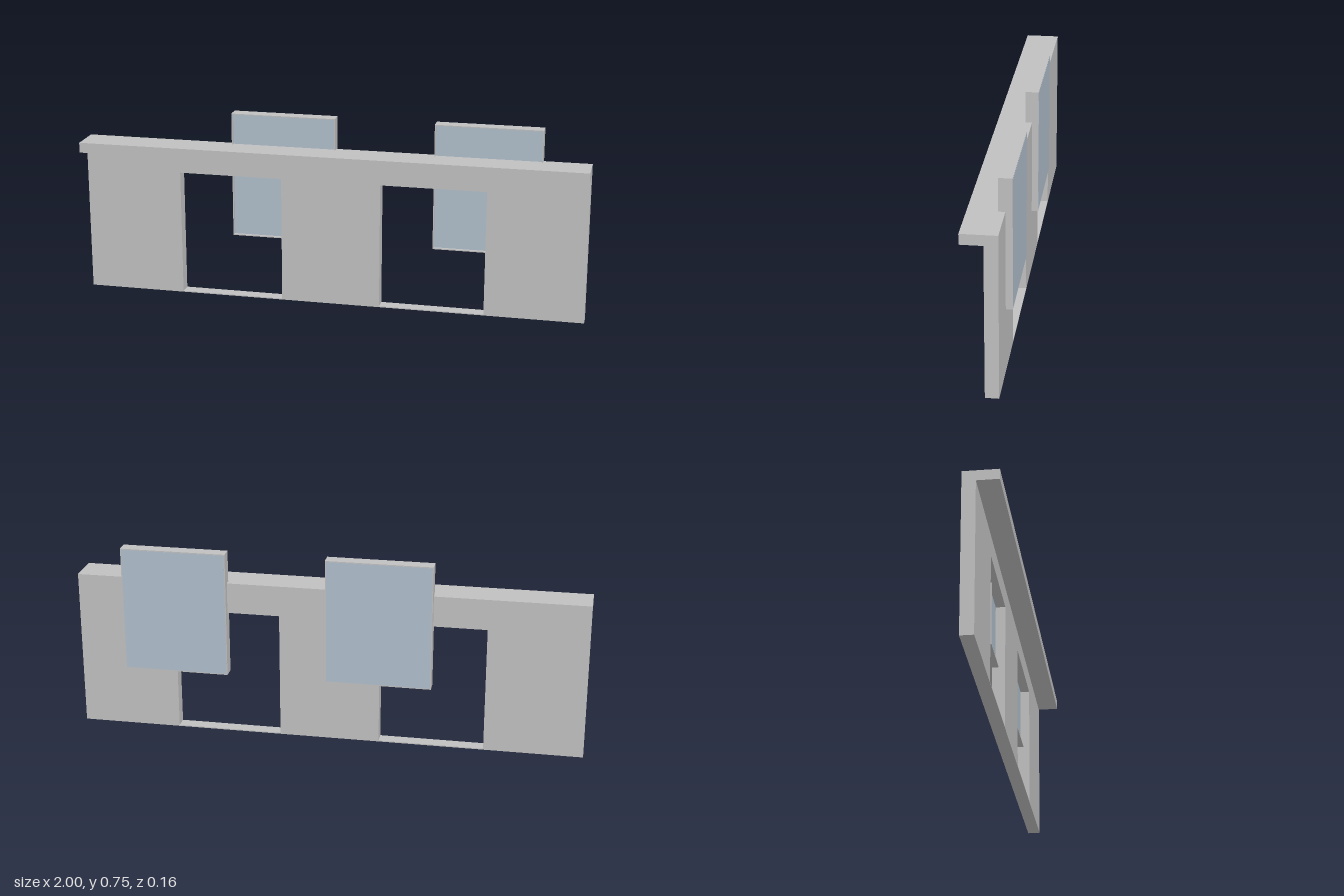
import * as THREE from 'three';

export function createModel() {
  const model = new THREE.Group();
  const grey = new THREE.MeshStandardMaterial({ color: 0xc0c0c0 });
  grey.name = 'wallGrey';
  const blue = new THREE.MeshStandardMaterial({ color: 0xafbecb });
  blue.name = 'glassBlue';

  const rect = (P, x0, y0, x1, y1) => {
    const p = new P();
    p.moveTo(x0, y0).lineTo(x1, y0).lineTo(x1, y1).lineTo(x0, y1).closePath();
    return p;
  };

  // Plate with rectangular openings, from z0 to z1
  function plate(name, bounds, holes, z0, z1) {
    const shape = rect(THREE.Shape, ...bounds);
    holes.forEach(h => shape.holes.push(rect(THREE.Path, ...h)));
    const geo = new THREE.ExtrudeGeometry(shape, { depth: z1 - z0, bevelEnabled: false });
    geo.translate(0, 0, z0);
    const mesh = new THREE.Mesh(geo, grey);
    mesh.name = name;
    model.add(mesh);
  }

  function box(name, material, x0, x1, y0, y1, z0, z1) {
    const mesh = new THREE.Mesh(new THREE.BoxGeometry(x1 - x0, y1 - y0, z1 - z0), material);
    mesh.position.set((x0 + x1) / 2, (y0 + y1) / 2, (z0 + z1) / 2);
    mesh.name = name;
    model.add(mesh);
  }

  // Wall with two doorways and a very thin sill
  plate('wall', [-1, 0, 1, 0.625],
    [[-0.613, 0.004, -0.2, 0.503], [0.195, 0.004, 0.61, 0.503]], -0.053, -0.003);

  // Ledge along the top front of the wall
  box('ledge', grey, -1, 1, 0.585, 0.625, -0.003, 0.08);

  // Raised panels behind the doorways: thin rim around a glazed face
  for (const [side, x0, x1] of [['right', -0.405, 0.01], ['left', 0.4, 0.815]]) {
    const t = 0.004;
    plate(side + 'PanelRim', [x0, 0.25, x1, 0.75],
      [[x0 + t, 0.25 + t, x1 - t, 0.75 - t]], -0.078, -0.028);
    box(side + 'PanelGlass', blue, x0 + t, x1 - t, 0.25 + t, 0.75 - t, -0.0785, -0.04);
  }
  return model;
}
